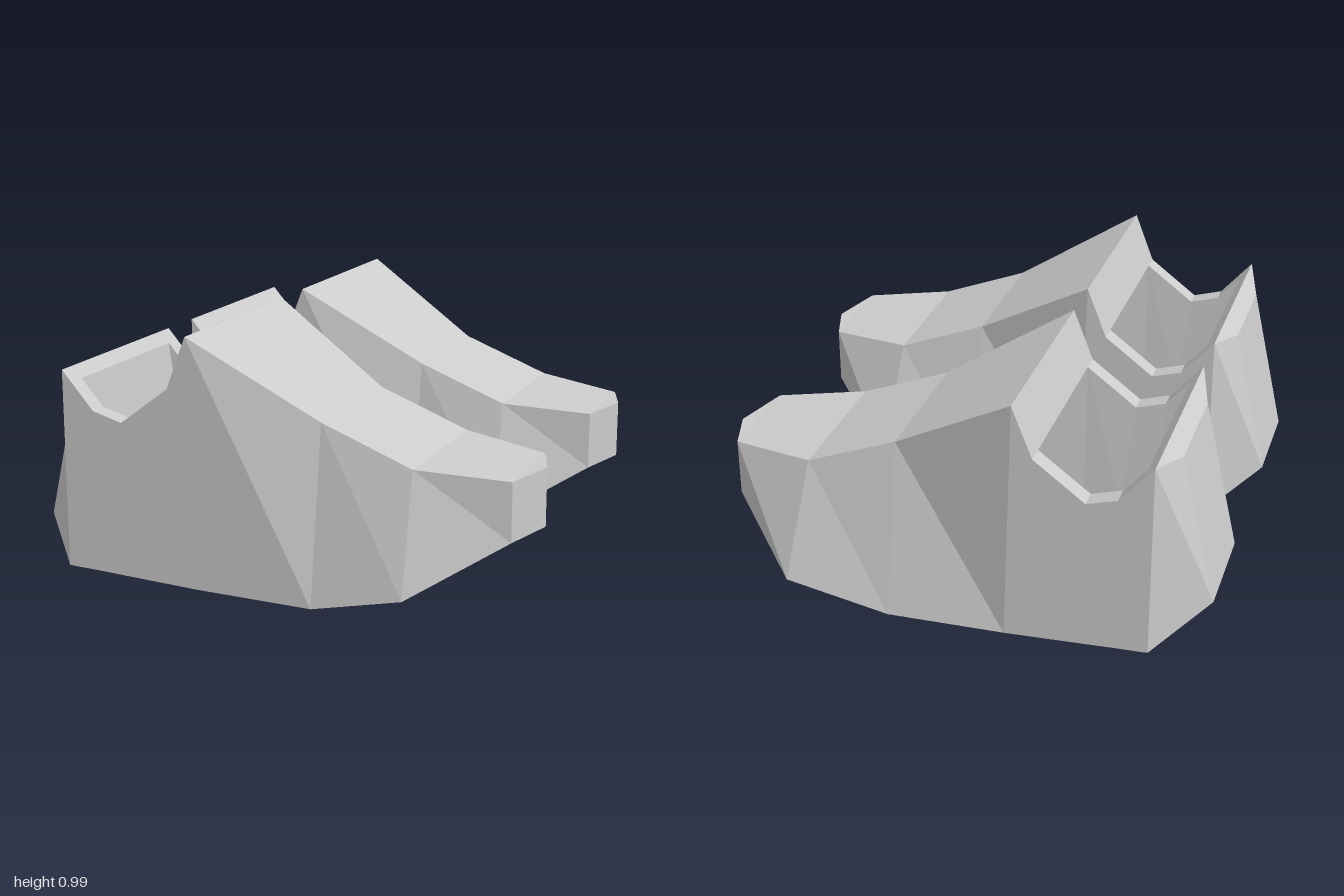
import * as THREE from 'three';

const v = (x, y, z) => new THREE.Vector3(x, y, z);

// Flat-shaded mesh from a list of four-cornered faces
function facetMesh(name, quads, material) {
  const points = [];
  for (const [a, b, c, d] of quads) points.push(a, b, c, a, c, d);
  const geometry = new THREE.BufferGeometry().setFromPoints(points);
  geometry.computeVertexNormals();
  const mesh = new THREE.Mesh(geometry, material);
  mesh.name = name;
  return mesh;
}

// Cross-section corners: top back, top front, bottom front, bottom back
const section = (x, y, zBack, zFront, bx, by, bBack, bFront, bxBack = bx) =>
  [v(x, y, zBack), v(x, y, zFront), v(bx, by, bFront), v(bxBack, by, bBack)];

// One face between two neighbouring cross-sections
const span = (s, t, k) => [s[k], s[(k + 1) % 4], t[(k + 1) % 4], t[k]];

function createShoe() {
  const W = 0.425;
  const material = new THREE.MeshStandardMaterial({
    color: 0xcccccc, flatShading: true, side: THREE.DoubleSide,
  });
  const full = (x, y, bx, by) => section(x, y, -W, W, bx, by, -W, W);

  // Outer sections from heel to toe
  const outer = [
    section(-0.86, 0.77, -0.215, 0.215, -1, 0.165, -0.215, 0.215),
    full(-0.8, 0.82, -0.8, 0.035),
    full(-0.76, 0.774, -0.76, 0.033),
    full(-0.67, 0.67, -0.67, 0.03),
    full(-0.55, 0.635, -0.55, 0.024),
    full(-0.35, 0.785, -0.35, 0.015),
    full(-0.27, 0.99, -0.24, 0.01),
    section(0.23, 0.69, -0.285, 0.32, 0.23, 0, -W, W),
    section(0.59, 0.55, -0.285, 0.32, 0.59, 0.08, -W, W, 0.65),
    section(0.94, 0.52, -0.18, 0.235, 0.94, 0.29, -0.18, 0.235),
    section(1, 0.52, 0, 0, 1, 0.29, 0, 0),
  ];

  // Inner sections: the foot opening, then the hollow under the instep
  const hollow = (x, y, bx, by, w = 0.35) =>
    section(x, y, -w, w, bx, by, -w + 0.02, w - 0.02);
  const inner = [
    hollow(-0.76, 0.774, -0.67, 0.22),
    hollow(-0.67, 0.67, -0.6, 0.21),
    hollow(-0.55, 0.635, -0.5, 0.2),
    hollow(-0.35, 0.785, -0.35, 0.19),
    hollow(0.1, 0.56, 0.1, 0.2, 0.3),
  ];

  const shell = [], rim = [], lining = [];
  const [h0, h1, h2, h3] = outer[0];
  shell.push([h3, h2, h1, h0]); // heel back
  for (let i = 0; i < outer.length - 1; i++) {
    for (let k = 0; k < 4; k++) {
      const overOpening = k === 0 && i >= 2 && i <= 4;
      if (!overOpening) shell.push(span(outer[i], outer[i + 1], k));
    }
  }

  // Rim strips along both sides of the opening
  for (let i = 0; i < 3; i++) {
    const [o, p, a, b] = [outer[i + 2], outer[i + 3], inner[i], inner[i + 1]];
    rim.push([o[0], a[0], b[0], p[0]], [a[1], o[1], p[1], b[1]]);
  }

  // Lining faces point inwards
  for (let i = 0; i < inner.length - 1; i++) {
    for (let k = i < 3 ? 1 : 0; k < 4; k++) {
      lining.push(span(inner[i], inner[i + 1], k).reverse());
    }
  }
  lining.push([...inner[0]], [...inner[4]].reverse());

  const shoe = new THREE.Group();
  shoe.add(
    facetMesh('shoeShell', shell, material),
    facetMesh('openingRim', rim, material),
    facetMesh('shoeLining', lining, material),
  );
  return shoe;
}

export function createModel() {
  const model = new THREE.Group();
  model.name = 'pairOfShoes';
  for (const [name, z] of [['frontShoe', 0.53], ['backShoe', -0.53]]) {
    const shoe = createShoe();
    shoe.name = name;
    shoe.position.z = z;
    model.add(shoe);
  }
  return model;
}
